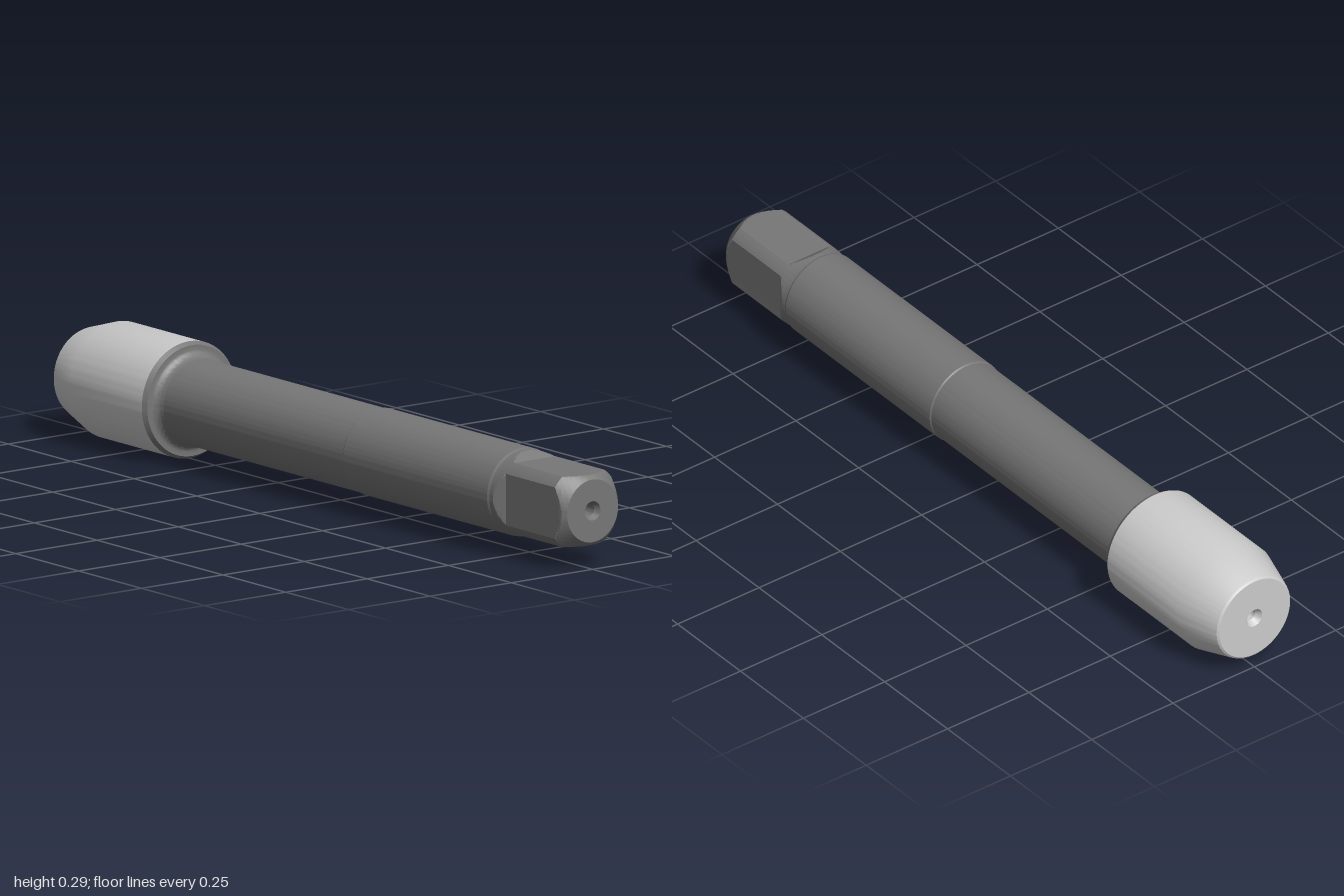
import * as THREE from 'three';
import { toCreasedNormals } from 'three/addons/utils/BufferGeometryUtils.js';

const SEG = 120;
const AXIS_Y = 0.1462;

// Turned part along z from [radius, z] points, listed with the surface on the outside
function turned(points) {
  const g = new THREE.LatheGeometry(points.map(([r, z]) => new THREE.Vector2(r, z)), SEG);
  g.rotateX(Math.PI / 2);
  return toCreasedNormals(g, 0.35);
}

// Round bar cut by four flats: each row is [z, radius, distance to the flats]
function squaredBar(rows) {
  const pos = [], index = [];
  rows.forEach(([z, radius, flat]) => {
    for (let i = 0; i < SEG; i++) {
      const a = (i / SEG) * Math.PI * 2;
      const c = Math.cos(a), s = Math.sin(a);
      const r = Math.min(radius, flat / Math.max(Math.abs(c), Math.abs(s)));
      pos.push(r * c, r * s, z);
    }
  });
  for (let k = 0; k < rows.length - 1; k++) {
    for (let i = 0; i < SEG; i++) {
      const j = (i + 1) % SEG;
      const a = k * SEG + i, b = k * SEG + j;
      index.push(a, b, b + SEG, a, b + SEG, a + SEG);
    }
  }
  const g = new THREE.BufferGeometry();
  g.setAttribute('position', new THREE.Float32BufferAttribute(pos, 3));
  g.setIndex(index);
  return toCreasedNormals(g, 0.35);
}

export function createModel() {
  const group = new THREE.Group();
  const dark = new THREE.MeshStandardMaterial({ color: 0x777777 });
  const light = new THREE.MeshStandardMaterial({ color: 0xcccccc });
  const add = (name, geometry, material) => {
    const mesh = new THREE.Mesh(geometry, material);
    mesh.name = name;
    mesh.position.y = AXIS_Y;
    group.add(mesh);
  };

  // Cutting head with tapered lead and centre hole in the back face
  add('head', turned([
    [0, -0.935], [0.014, -0.945], [0.014, -0.984], [0.024, -1],
    [0.108, -1], [0.113, -0.996], [0.116, -0.988],
    [0.1455, -0.89], [0.1455, -0.604],
  ]), light);

  // Front shoulder of the head, with a concave fillet running into the shank
  const fillet = [];
  for (let i = 0; i <= 8; i++) {
    const a = (i / 8) * Math.PI / 2;
    fillet.push([0.129 - 0.022 * Math.sin(a), -0.565 - 0.027 * Math.cos(a)]);
  }
  add('headShoulder', turned([[0.1455, -0.604], [0.138, -0.592], ...fillet]), dark);

  // Shank: slim rear half, slightly thicker front half
  add('shank', turned([
    [0.107, -0.565], [0.107, 0.146], [0.1095, 0.15],
    [0.1095, 0.722], [0.107, 0.728],
  ]), dark);

  // Square drive: sloping run-out, flats, conical end chamfer and centre hole
  const R = 0.1088, FLAT = 0.088, N = 10;
  const rows = [[0.728, 0.107, 1], [0.738, 0.107, 1]];
  for (let i = 0; i <= N; i++) {
    const t = i / N;
    rows.push([0.742 + 0.028 * t, 0.107 + (R - 0.107) * t, 0.107 + (FLAT - 0.107) * t]);
  }
  for (let i = 0; i <= N; i++) {
    const t = i / N;
    rows.push([0.964 + 0.036 * t, R + (0.078 - R) * t, FLAT]);
  }
  rows.push([1, 0.024, 1], [0.985, 0.016, 1], [0.945, 0.016, 1], [0.935, 0, 1]);
  add('squareDrive', squaredBar(rows), dark);

  return group;
}
